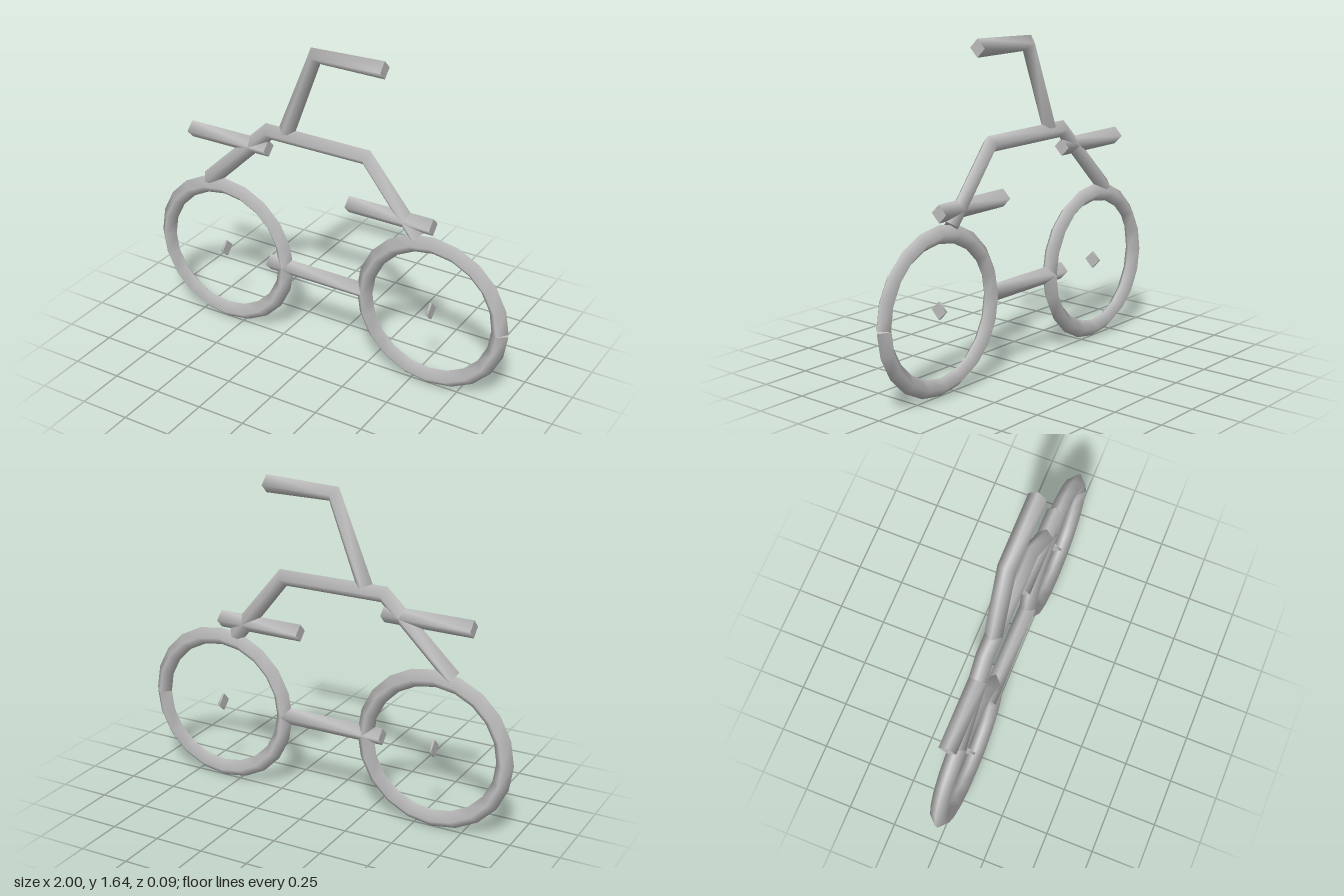
import * as THREE from 'three';

const R = 0.044; // half diagonal of every diamond-section tube

// Capped four-sided tube following points [x, y] in the z = 0 plane
function diamondTube(points) {
  const pts = points.map(([x, y]) => new THREE.Vector2(x, y));
  const last = pts.length - 1;
  const pos = [], index = [];
  const direction = (a, b) => pts[b].clone().sub(pts[a]).normalize();

  // One diamond ring, square to the averaged direction of the path
  const ring = (i) => {
    const t = new THREE.Vector2();
    if (i > 0) t.add(direction(i - 1, i));
    if (i < last) t.add(direction(i, i + 1));
    t.normalize();
    for (let j = 0; j < 4; j++) {
      const a = (j * Math.PI) / 2;
      const n = R * Math.cos(a);
      pos.push(pts[i].x - t.y * n, pts[i].y + t.x * n, R * Math.sin(a));
    }
  };

  for (let i = 0; i <= last; i++) ring(i);
  for (let i = 0; i < last; i++) {
    for (let j = 0; j < 4; j++) {
      const a = i * 4 + j, b = i * 4 + ((j + 1) % 4);
      index.push(a, b, b + 4, a, b + 4, a + 4);
    }
  }
  // Flat end caps with their own corners
  const s = pos.length / 3;
  ring(0);
  ring(last);
  index.push(s, s + 2, s + 1, s, s + 3, s + 2);
  index.push(s + 4, s + 5, s + 6, s + 4, s + 6, s + 7);

  const geometry = new THREE.BufferGeometry();
  geometry.setAttribute('position', new THREE.Float32BufferAttribute(pos, 3));
  geometry.setIndex(index);
  geometry.computeVertexNormals();
  return geometry;
}

// Path round a wheel, starting and ending on its +x side
function circlePath(cx, cy, radius, sides) {
  return Array.from({ length: sides + 1 }, (_, i) => {
    const a = (i / sides) * Math.PI * 2;
    return [cx + radius * Math.cos(a), cy + radius * Math.sin(a)];
  });
}

export function createModel() {
  const group = new THREE.Group();
  const grey = new THREE.MeshStandardMaterial({ color: 0xbfbfbf });
  grey.name = 'grey';

  const add = (name, points) => {
    const mesh = new THREE.Mesh(diamondTube(points), grey);
    mesh.name = name;
    group.add(mesh);
  };

  // Wheels and their short hubs
  for (const [side, x] of [['right', -0.592], ['left', 0.592]]) {
    add(side + 'Wheel', circlePath(x, 0.408, 0.364, 20));
    add(side + 'Hub', [[x - 0.006, 0.413], [x + 0.006, 0.413]]);
  }

  // Frame and the bar joining the wheels
  add('frame', [[-0.68, 0.79], [-0.317, 1.14], [0.228, 1.138], [0.505, 0.795]]);
  add('lowerBar', [[-0.32, 0.413], [0.23, 0.413]]);

  // Bent handle
  add('handle', [[-0.215, 1.165], [-0.05, 1.588], [0.315, 1.594]]);

  // Level cross bars
  add('seat', [[-0.775, 1.047], [-0.32, 1.047]]);
  add('footRest', [[0.135, 0.867], [0.588, 0.867]]);

  return group;
}
